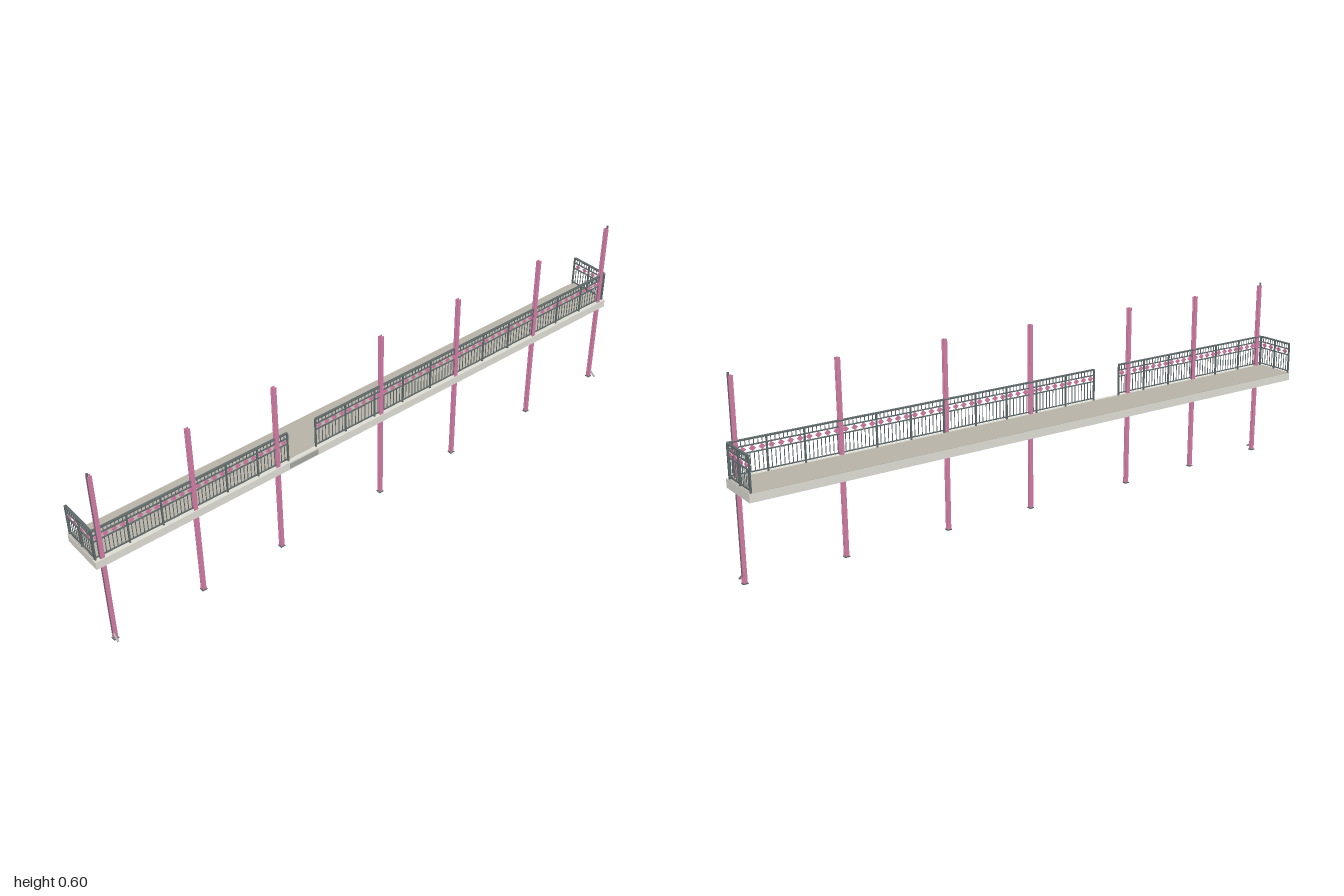
import * as THREE from 'three';

const mat = (name, color) => {
  const m = new THREE.MeshStandardMaterial({ color });
  m.name = name;
  return m;
};

export function createModel() {
  const root = new THREE.Group();
  root.name = 'walkway';
  const concrete = mat('pale concrete', 0xdddcd3);
  const floor = mat('floor tan', 0xb7b2a6);
  const iron = mat('dark iron', 0x5f6a6b);
  const pink = mat('pink paint', 0xd17ba3);
  const pipeGrey = mat('pipe grey', 0x66686b);
  const lightGrey = mat('light grey', 0xa3a3a0);

  const add = (parent, name, geo, m, x, y, z) => {
    const mesh = new THREE.Mesh(geo, m);
    mesh.name = name;
    mesh.position.set(x, y, z);
    parent.add(mesh);
    return mesh;
  };
  const box = (parent, name, m, w, h, d, x, y, z) =>
    add(parent, name, new THREE.BoxGeometry(w, h, d), m, x, y, z);

  // Deck slab, floor finish and the threshold in the railing gap
  box(root, 'deckSlab', concrete, 0.146, 0.026, 1.996, -0.01, 0.298, 0);
  box(root, 'floorFinish', floor, 0.132, 0.001, 1.994, -0.017, 0.3114, 0);
  box(root, 'threshold', lightGrey, 0.002, 0.018, 0.105, 0.0635, 0.298, 0.3);

  // Round lamps beneath the deck
  for (const z of [-0.8, -0.147, 0.508]) {
    add(root, 'ceilingLamp', new THREE.CylinderGeometry(0.013, 0.012, 0.002, 20), lightGrey, -0.002, 0.2842, z);
  }

  // H-section columns with foot plates
  const columnX = 0.0545;
  for (const z of [0.973, 0.675, 0.39, 0, -0.307, -0.655, -0.97]) {
    const column = new THREE.Group();
    column.name = 'column';
    for (const s of [-1, 1]) box(column, 'flange', pink, 0.0018, 0.595, 0.013, columnX + s * 0.0043, 0.2975, z);
    box(column, 'web', pink, 0.007, 0.595, 0.002, columnX, 0.2975, z);
    box(column, 'footPlate', iron, 0.015, 0.003, 0.016, columnX, 0.0015, z);
    root.add(column);
  }

  // Drainpipes in the outer channels of the end columns
  for (const [z, s] of [[0.973, 1], [-0.97, -1]]) {
    const pipe = new THREE.Group();
    pipe.name = 'drainpipe';
    const pz = z + s * 0.0045;
    add(pipe, 'pipe', new THREE.CylinderGeometry(0.0032, 0.0032, 0.58, 12), pipeGrey, 0.055, 0.314, pz);
    const spout = add(pipe, 'spout', new THREE.CylinderGeometry(0.0032, 0.0032, 0.031, 12), lightGrey, 0.067, 0.0165, pz);
    spout.rotation.z = Math.atan2(0.024, 0.018);
    root.add(pipe);
  }

  // Diamond ornament, shared by all the panels
  const r = 0.0098, h = 0.0088;
  const diamond = new THREE.ExtrudeGeometry(
    new THREE.Shape([[r, 0], [0, h], [-r, 0], [0, -h]].map(p => new THREE.Vector2(...p))),
    { depth: 0.003, bevelEnabled: false }
  );
  diamond.translate(0, 0, -0.0015);

  // A railing runs along its own x, split into equal panels
  const railing = (name, length, panels, bars, diamonds) => {
    const g = new THREE.Group();
    g.name = name;
    for (const [y, t, d] of [[0.413, 0.004, 0.008], [0.395, 0.003, 0.004], [0.374, 0.003, 0.004], [0.3185, 0.003, 0.004]]) {
      box(g, 'rail', iron, length, t, d, 0, y, 0);
    }
    const step = length / panels;
    for (let i = 0; i <= panels; i++) {
      const x = -length / 2 + i * step;
      box(g, 'railPost', iron, 0.0045, 0.101, 0.005, x, 0.3615, 0);
      if (i === panels) break;
      for (let b = 1; b <= bars; b++) {
        const bx = x + (b * step) / (bars + 1);
        box(g, 'baluster', iron, 0.0018, 0.054, 0.0018, bx, 0.3465, 0);
        box(g, 'shortBaluster', iron, 0.0018, 0.016, 0.0018, bx, 0.4035, 0);
      }
      for (let k = 0; k < diamonds; k++) {
        const dx = (k - (diamonds - 1) / 2) * 0.03;
        add(g, 'diamond', diamond, pink, x + step / 2 + dx * Math.min(1, step / (0.03 * diamonds)), 0.3848, 0);
      }
    }
    root.add(g);
    return g;
  };

  // Long side, in two runs with an opening between them
  const sideRun = (name, z0, z1, panels) => {
    const g = railing(name, z1 - z0, panels, 8, 4);
    g.position.set(0.053, 0, (z0 + z1) / 2);
    g.rotation.y = Math.PI / 2;
  };
  sideRun('frontSideRailing', 0.35, 0.992, 6);
  sideRun('backSideRailing', -0.992, 0.248, 11);

  // Both ends
  for (const s of [1, -1]) {
    railing(s > 0 ? 'frontRailing' : 'backRailing', 0.132, 2, 5, 2).position.set(-0.015, 0, s * 0.992);
  }

  return root;
}
